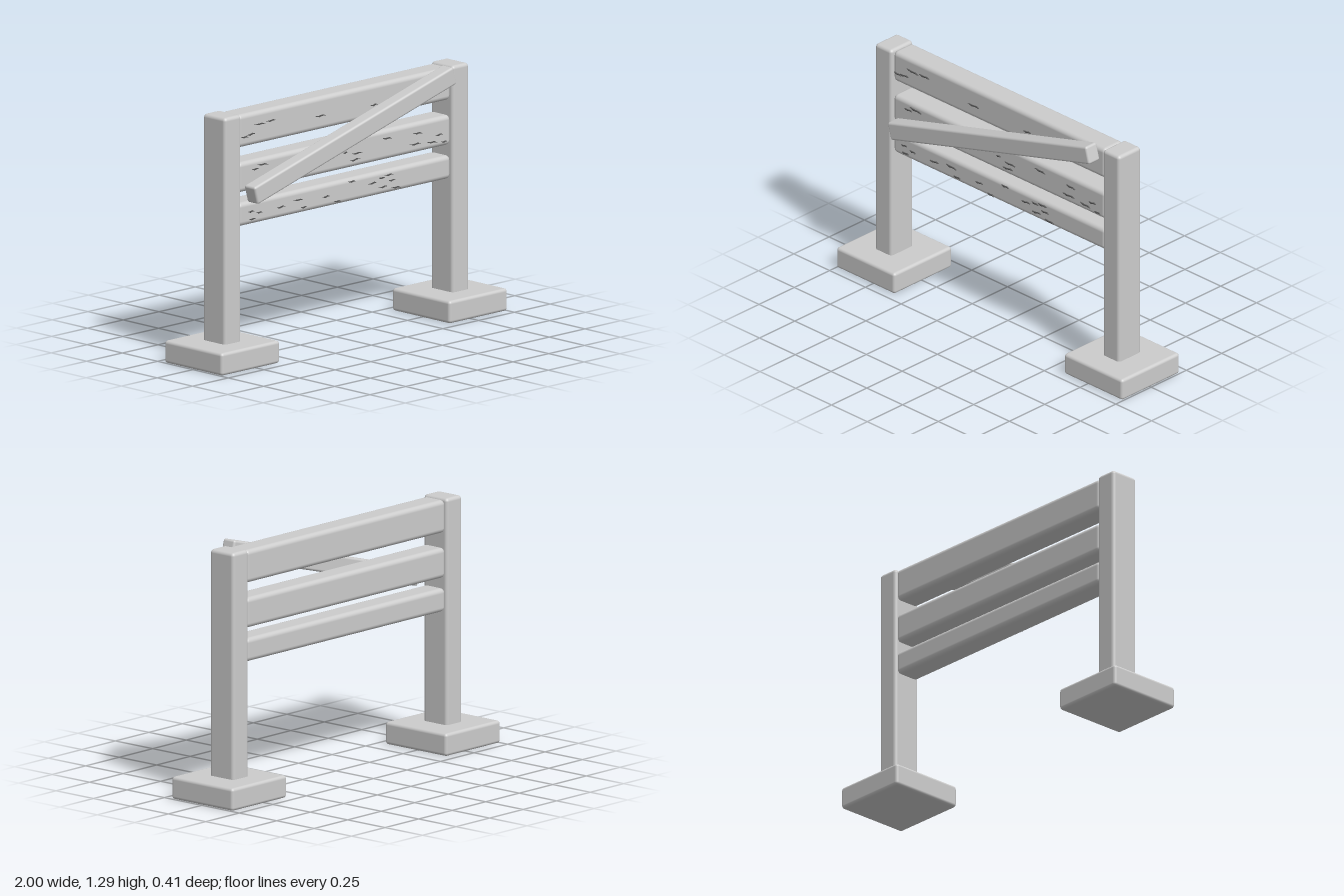
import * as THREE from 'three';
import { RoundedBoxGeometry } from 'three/addons/geometries/RoundedBoxGeometry.js';

export function createModel() {
  const model = new THREE.Group();
  model.name = 'fenceBarrier';

  const wood = new THREE.MeshStandardMaterial({ color: 0xcccccc });
  wood.name = 'pale grey';
  const dark = new THREE.MeshStandardMaterial({ color: 0x555555 });
  dark.name = 'dark grey';

  // Rounded block given by its size and centre
  function block(name, [w, h, d], [x, y, z], radius) {
    const mesh = new THREE.Mesh(new RoundedBoxGeometry(w, h, d, 3, radius), wood);
    mesh.name = name;
    mesh.position.set(x, y, z);
    model.add(mesh);
    return mesh;
  }

  // Feet and posts, mirrored
  for (const [side, s] of [['left', 1], ['right', -1]]) {
    block(side + 'Foot', [0.408, 0.115, 0.41], [s * 0.796, 0.0575, 0], 0.016);
    block(side + 'Post', [0.116, 1.19, 0.158], [s * 0.796, 0.677, 0], 0.018);
  }

  // Horizontal planks: bottom and top heights
  const planks = [['topPlank', 1.098, 1.266], ['middlePlank', 0.868, 1.022], ['lowerPlank', 0.695, 0.815]];
  for (const [name, low, high] of planks) {
    block(name, [1.486, high - low, 0.133], [0, (low + high) / 2, -0.003], 0.024);
  }

  // Loose board nailed across the front
  block('diagonalBoard', [1.443, 0.094, 0.078], [0, 1.051, 0.102], 0.012).rotation.z = 0.27;

  // Wood grain marks: x, y, length
  const marks = [
    [-0.6, 1.2, 0.08], [-0.52, 1.204, 0.07], [-0.66, 1.157, 0.06], [-0.705, 1.15, 0.05],
    [-0.175, 1.17, 0.075], [0.2, 1.163, 0.05],
    [-0.58, 0.99, 0.08], [-0.63, 0.974, 0.05], [0, 0.952, 0.03], [0.29, 0.977, 0.07],
    [0.08, 0.936, 0.07], [0.065, 0.905, 0.07], [0.505, 0.967, 0.06], [0.49, 0.914, 0.08],
    [0.655, 0.934, 0.05], [0.605, 0.904, 0.07], [0.69, 0.893, 0.04],
    [-0.66, 0.762, 0.04], [-0.6, 0.748, 0.04], [-0.65, 0.722, 0.045], [-0.45, 0.75, 0.06],
    [-0.33, 0.766, 0.07], [-0.29, 0.722, 0.045], [-0.135, 0.75, 0.05], [-0.055, 0.713, 0.045],
    [0.045, 0.797, 0.05], [0.19, 0.764, 0.06], [0.255, 0.78, 0.045], [0.305, 0.788, 0.06],
    [0.265, 0.733, 0.06], [0.355, 0.716, 0.06], [0.325, 0.757, 0.05],
  ];
  // One wavy sliver of unit length
  const sliver = new THREE.Shape();
  sliver.moveTo(-0.5, 0.003);
  sliver.lineTo(-0.15, -0.004);
  sliver.lineTo(0.2, 0);
  sliver.lineTo(0.5, -0.002);
  sliver.lineTo(0.25, 0.005);
  sliver.lineTo(-0.1, 0.002);
  const sliverGeometry = new THREE.ExtrudeGeometry(sliver, { depth: 0.008, bevelEnabled: false });
  const grain = new THREE.Group();
  grain.name = 'woodGrain';
  marks.forEach(([x, y, length], i) => {
    const mark = new THREE.Mesh(sliverGeometry, dark);
    mark.name = 'grainMark';
    mark.position.set(x, y, 0.0625);
    mark.scale.x = length;
    mark.rotation.z = (i % 3 - 1) * 0.08;
    grain.add(mark);
  });
  model.add(grain);

  return model;
}
